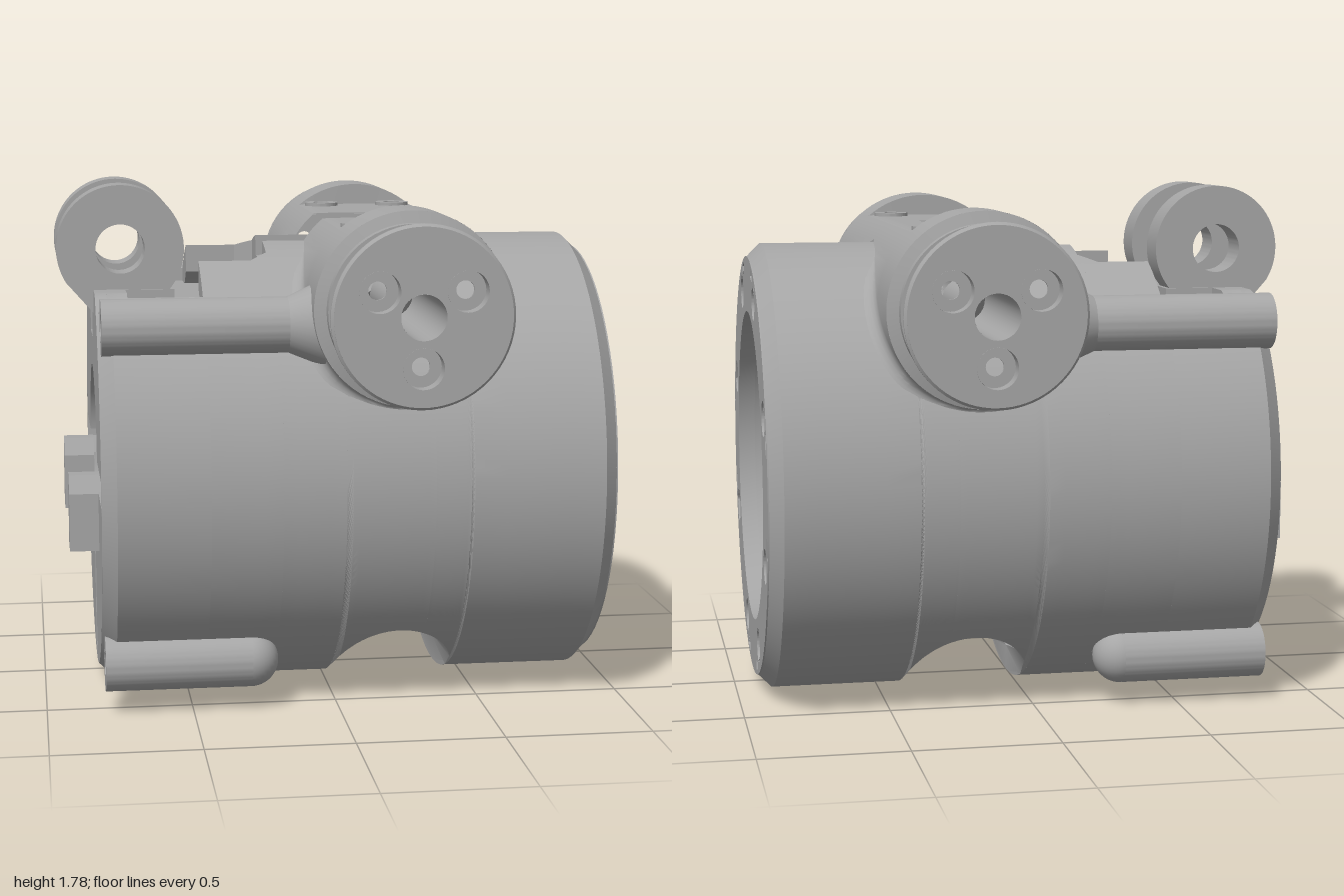
import * as THREE from 'three';
import { toCreasedNormals } from 'three/addons/utils/BufferGeometryUtils.js';

const YC = 0.79, R = 0.79, RIN = 0.7;      // main bore axis height, outer and inner radius
const TX = 0.215, TY = 1.4, TR = 0.325;    // cross tube axis and radius

export function createModel() {
  const model = new THREE.Group();
  const grey = new THREE.MeshStandardMaterial({ color: 0xa6a6a6, side: THREE.DoubleSide });
  grey.name = 'castGrey';

  const add = (name, geo, parent = model) => {
    const m = new THREE.Mesh(geo, grey);
    m.name = name;
    parent.add(m);
    return m;
  };
  const box = (name, x0, x1, y0, y1, z0, z1) =>
    add(name, new THREE.BoxGeometry(x1 - x0, y1 - y0, z1 - z0)
      .translate((x0 + x1) / 2, (y0 + y1) / 2, (z0 + z1) / 2));
  const disc = (r, u = 0, v = 0, C = THREE.Shape) => new C().absarc(u, v, r, 0, Math.PI * 2);
  const hole = (r, u = 0, v = 0) => disc(r, u, v, THREE.Path);
  const poly = (pts, C = THREE.Shape) => new C(pts.map(p => new THREE.Vector2(p[0], p[1])));
  const extrude = (shape, depth) =>
    toCreasedNormals(new THREE.ExtrudeGeometry(shape, { depth, bevelEnabled: false, curveSegments: 40 }), 0.5);
  // shape in (-z, y) pushed from x0 to x1
  const extrudeX = (shape, x0, x1, y = YC, z = 0) =>
    extrude(shape, x1 - x0).rotateY(Math.PI / 2).translate(x0, y, z);
  // skin over a list of equal-length point rows
  const skin = (pos, rows, flip, skip) => {
    for (let i = 0; i + 1 < rows.length; i++) for (let j = 0; j + 1 < rows[i].length; j++) {
      const q = [rows[i][j], rows[i + 1][j], rows[i + 1][j + 1], rows[i][j + 1]];
      if (skip && skip((q[0][0] + q[2][0]) / 2, (q[0][1] + q[2][1]) / 2)) continue;
      for (const t of [[0, 1, 2], [0, 2, 3]]) {
        const v = t.map(k => new THREE.Vector3(...q[k]));
        if (new THREE.Triangle(...v).getArea() < 1e-8) continue;
        if (flip) v.reverse();
        v.forEach(p => pos.push(p.x, p.y, p.z));
      }
    }
  };
  const skinned = pos => toCreasedNormals(new THREE.BufferGeometry()
    .setAttribute('position', new THREE.Float32BufferAttribute(pos, 3)), 0.5);

  // Main shell: x0, x1, half width of top opening at each end, crossed by bottom arch, steps
  const spans = [
    [-0.81, -0.76, 0.48, 0.48, false, 1], [-0.76, -0.45, 0.48, 0.48, false, 2],
    [-0.45, -0.27, 0.3, 0.3, false, 2], [-0.27, -0.21, 0.3, 0.24, false, 2],
    [-0.21, 0, 0.115, 0.115, false, 4], [0, 0.3, 0.115, 0.115, true, 14],
    [0.3, 0.43, 0, 0, true, 12], [0.43, 0.88, 0, 0, false, 4], [0.88, 0.93, 0, 0, false, 1],
  ];
  const N = 64, shell = [];
  for (const s of [1, -1]) {
    const rows = [];
    for (const [x0, x1, w0, w1, arch, n] of spans) for (let i = 0; i <= n; i++) {
      const t = i / n, x = x0 + (x1 - x0) * t, w = w0 + (w1 - w0) * t;
      const ro = R - Math.max(0, x - 0.88, -0.76 - x);
      const cut = arch ? 0.05 + Math.sqrt(Math.max(0, 0.215 ** 2 - (x - TX) ** 2)) : -1;
      const arc = r => Array.from({ length: N + 1 }, (_, j) => {
        const b = Math.asin(w / r), e = Math.PI - Math.acos(Math.min(1, (YC - cut) / r));
        const p = b + (e - b) * j / N;
        return [x, YC + r * Math.cos(p), s * r * Math.sin(p)];
      });
      const outer = arc(ro);
      rows.push([...outer, ...arc(RIN).reverse(), outer[0]]);
    }
    skin(shell, rows, s > 0, (x, y) => Math.hypot(x - TX, y - TY) < 0.105);
  }
  add('mainShell', skinned(shell));

  // Cross tube, blended into the shell, with a flat pad milled on top
  const angles = Array.from({ length: 81 }, (_, i) => -Math.PI + i * Math.PI / 40);
  const edge = Math.asin((0.3 - TX) / TR);
  angles.push(edge - 0.001, edge + 0.001);
  angles.sort((a, b) => a - b);
  const root = (x, y) => {
    const z = Math.sqrt(Math.max(0, 0.785 ** 2 - (y - YC) ** 2));
    return x > -0.11 && x < 0.3 ? Math.max(z, 0.115) : z;
  };
  const tube = [];
  for (const s of [1, -1]) {
    const rows = Array.from({ length: 10 }, () => []);
    for (const a of angles) {
      const sx = Math.sin(a), cy = Math.cos(a);
      const z0 = root(TX + TR * sx, TY + TR * cy);
      const f = Math.min(0.08 * THREE.MathUtils.smoothstep(z0, 0.12, 0.45), (0.77 - z0) * 0.9);
      const put = (k, r, z, flat) =>
        rows[k].push([TX + r * sx, Math.min(TY + r * cy, flat ? 1.65 : 9), s * z]);
      for (let k = 0; k < 7; k++) {
        const t = k / 6, r = TR + f * (1 - t) ** 2;
        put(k, r, root(TX + r * sx, TY + r * cy) + f * t * t, true);
      }
      const zEnd = z0 + f;
      put(7, TR, Math.max(zEnd, 0.545), true);
      put(8, TR, Math.max(zEnd, 0.546), false);
      put(9, TR, Math.max(zEnd, 0.77), false);
    }
    skin(tube, rows, s < 0);
  }
  add('crossTube', skinned(tube));

  // Walls of the top window and floor of its channel
  for (const s of [1, -1]) box('windowSide', 0, 0.3, 1.45, 1.645, s * 0.1175 - 0.0025, s * 0.1175 + 0.0025);
  box('windowEnd', 0.3, 0.305, 1.45, 1.645, -0.115, 0.115);
  box('channelFloor', -0.21, 0, 1.44, 1.5, -0.12, 0.12);

  // Pad screws
  for (const x of [0.08, 0.35]) for (const z of [-0.48, 0.48]) {
    const ring = disc(0.062);
    ring.holes.push(hole(0.03));
    add('padScrew', extrude(ring, 0.02).rotateX(-Math.PI / 2).translate(x, 1.642, z));
  }

  // Grooved sleeve and bored cap at both ends of the tube
  for (const s of [1, -1]) {
    const end = new THREE.Group();
    end.name = 'tubeEnd';
    end.position.set(TX, TY, 0);
    end.rotation.y = s > 0 ? 0 : Math.PI;
    model.add(end);
    const profile = [[0.325, 0.768], [0.285, 0.78], [0.285, 0.82], [0.258, 0.82], [0.258, 0.865], [0.24, 0.87],
      [0.24, 0.885], [0.258, 0.89], [0.258, 0.965], [0.3, 0.98], [0.3, 0.99], [0.29, 1]];
    add('sleeve', toCreasedNormals(new THREE.LatheGeometry(profile.map(p => new THREE.Vector2(...p)), 64)
      .rotateX(Math.PI / 2), 0.5), end);
    const face = disc(0.291), back = disc(0.25);
    face.holes.push(hole(0.075));
    back.holes.push(hole(0.075));
    for (const deg of [30, 150, 270]) {
      const a = deg * Math.PI / 180, u = 0.165 * Math.cos(a), v = 0.165 * Math.sin(a);
      face.holes.push(hole(0.068, u, v));
      back.holes.push(hole(0.03, u, v));
      add('screwBore', new THREE.CylinderGeometry(0.068, 0.068, 0.06, 28, 1, true)
        .rotateX(Math.PI / 2).translate(u, v, 0.97), end);
    }
    add('capFace', extrude(face, 0.01).translate(0, 0, 0.99), end);
    add('capBack', extrude(back, 0.01).translate(0, 0, 0.935), end);
    add('centreBore', new THREE.CylinderGeometry(0.075, 0.075, 0.65, 32, 1, true)
      .rotateX(Math.PI / 2).translate(0, 0, 0.675), end);
  }

  // Open end flange with counterbored holes and small slots
  const flangeFront = disc(0.745), flangeBack = disc(0.72);
  flangeFront.holes.push(hole(0.55));
  flangeBack.holes.push(hole(0.55));
  for (let i = 0; i < 8; i++) {
    const a = (i + 0.5) * Math.PI / 4, u = 0.65 * Math.cos(a), v = 0.65 * Math.sin(a);
    flangeFront.holes.push(hole(0.06, u, v));
    flangeBack.holes.push(hole(0.035, u, v));
    const c = Math.floor(i / 2) * Math.PI / 2 + (i % 2 ? -0.25 : 0.25);
    const slot = [[0.695, -0.035], [0.728, -0.035], [0.728, 0.035], [0.695, 0.035]].map(([r, t]) =>
      [r * Math.cos(c) - t * Math.sin(c), r * Math.sin(c) + t * Math.cos(c)]);
    flangeFront.holes.push(poly(slot, THREE.Path));
  }
  add('flangeFront', extrudeX(flangeFront, 0.87, 0.93));
  add('flangeBack', extrudeX(flangeBack, 0.83, 0.87));

  // Closed end wall, cut flat at the top
  const TOP = 1.42 - YC;
  const slotPts = [[-0.1, 0.45], [0.1, 0.45], [0.1, 0.55], [-0.1, 0.55]];
  const arcPts = (r, a0, a1, n = 48) => Array.from({ length: n + 1 }, (_, i) => {
    const a = a0 + (a1 - a0) * i / n;
    return [r * Math.cos(a), Math.min(TOP, r * Math.sin(a))];
  });
  const wall = poly(arcPts(0.735, 0, Math.PI * 2, 96).slice(0, -1));
  wall.holes.push(hole(0.335), hole(0.04, 0.45), hole(0.04, -0.45), poly(slotPts, THREE.Path));
  add('endWall', extrudeX(wall, -0.77, -0.7));
  // raised face sectors, leaving radial grooves between them
  const H = Math.PI / 2;
  for (const [a0, a1] of [[0, 2 * H], [2 * H, 3 * H], [3 * H, 4 * H]]) {
    const gi = Math.asin(0.045 / 0.335), go = Math.asin(0.045 / 0.735);
    const sector = poly([...arcPts(0.735, a0 + go, a1 - go), ...arcPts(0.335, a1 - gi, a0 + gi)]);
    if (a0 === 0) sector.holes.push(poly(slotPts, THREE.Path));
    add('endFace', extrudeX(sector, -0.81, -0.77));
  }
  // inner hub with two eared holes
  const hub = disc(0.4);
  hub.holes.push(hole(0.335));
  add('hub', extrudeX(hub, -0.7, -0.65));
  box('hubKey', -0.7, -0.65, 0.25, 0.4, -0.05, 0.05);
  for (const s of [1, -1]) {
    const ear = disc(0.09);
    ear.holes.push(hole(0.04));
    add('hubEar', extrudeX(ear, -0.7, -0.66, YC, s * 0.45));
    box('ductWall', -0.72, -0.5, 1.16, 1.36, s * 0.24 - 0.01, s * 0.24 + 0.01);
    // drive lug
    const lug = poly([[-0.065, 0.54], [0.065, 0.54], [0.065, 0.74], [0.03, 0.8], [-0.03, 0.8], [-0.065, 0.74]]);
    add('lug', extrudeX(lug, -0.91, -0.8, 0, s * 0.365));

    // long corner bosses with screw holes
    const boss = disc(0.095);
    boss.holes.push(hole(0.045));
    add('upperBoss', extrudeX(boss, -0.8, -0.08, 1.335, s * 0.61));
    add('upperBossFlare', new THREE.CylinderGeometry(0.15, 0.095, 0.12, 32)
      .rotateZ(-H).translate(-0.12, 1.335, s * 0.61));
    add('lowerBoss', extrudeX(boss, -0.8, -0.3, 0.17, s * 0.54));
    add('lowerBossTip', new THREE.SphereGeometry(0.095, 32, 20).translate(-0.3, 0.17, s * 0.54));
    for (const [y, z] of [[1.335, 0.61], [0.17, 0.54]])
      add('bossScrew', new THREE.CylinderGeometry(0.045, 0.045, 0.02, 24)
        .rotateZ(H).translate(-0.74, y, s * z));

    // clevis ear
    const eye = new THREE.Shape().absarc(-0.715, 1.56, 0.22, -0.75, Math.PI + 0.55);
    eye.lineTo(-0.81, 1.34);
    eye.lineTo(-0.55, 1.34);
    eye.holes.push(hole(0.085, -0.715, 1.56));
    add('clevisEar', extrude(eye, 0.13).translate(0, 0, s > 0 ? 0.11 : -0.24));
  }

  // Floor of the stepped top opening and clevis base
  box('openingFloor', -0.8, -0.45, 1.345, 1.37, -0.48, 0.48);
  box('openingFloorRear', -0.45, -0.2, 1.345, 1.37, -0.44, 0.44);
  box('clevisBase', -0.81, -0.53, 1.345, 1.42, -0.25, 0.25);

  return model;
}
